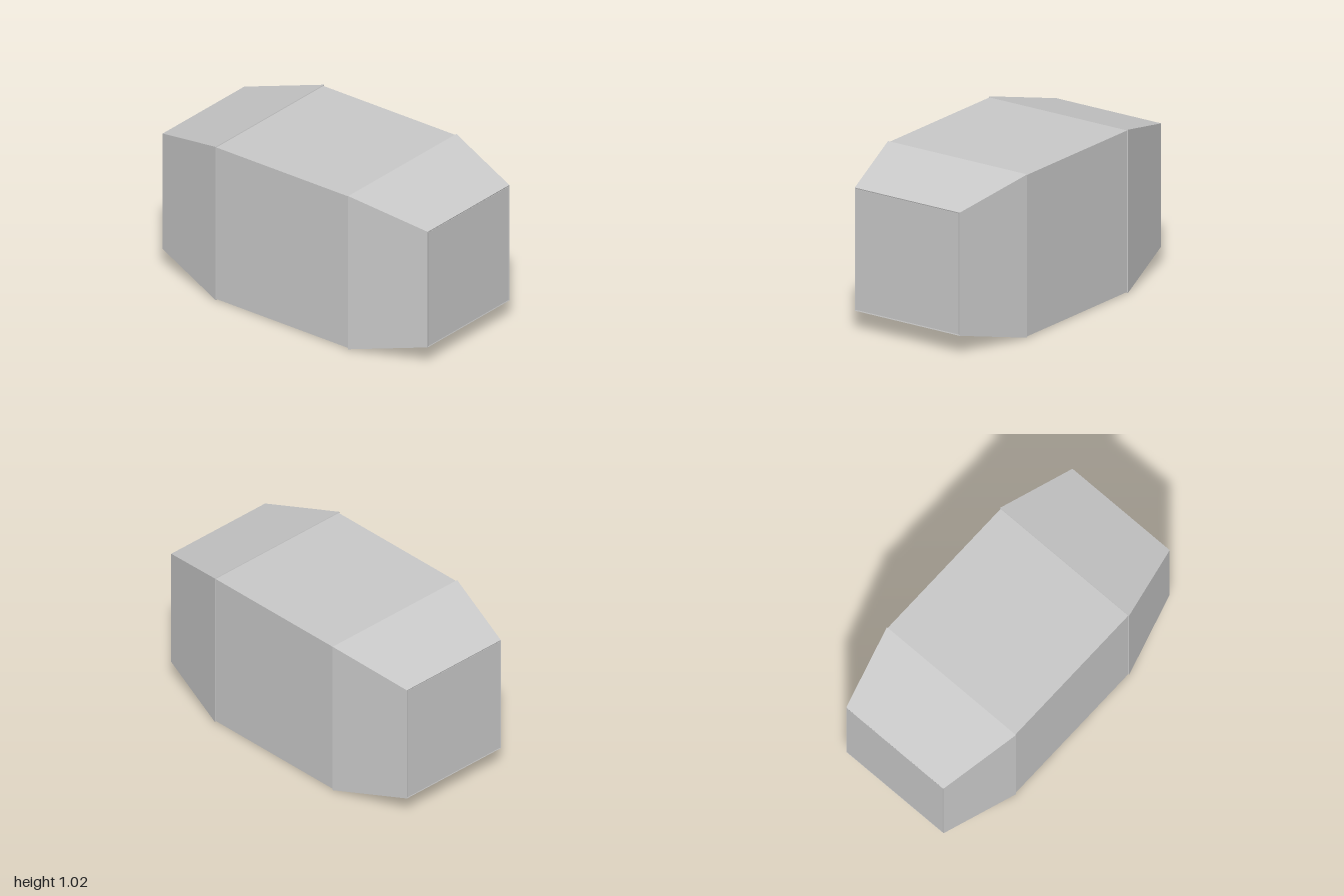
import * as THREE from 'three';

const MID = 0.508; // height of the long axis
const material = new THREE.MeshStandardMaterial({ color: 0xcccccc, flatShading: true, side: THREE.DoubleSide });

function addMesh(parent, name, geometry) {
  const mesh = new THREE.Mesh(geometry, material);
  mesh.name = name;
  parent.add(mesh);
  return mesh;
}

// Four-sided ring along z from [half width, z] pairs
function squareRing(profile) {
  const points = profile.map(([half, z]) => new THREE.Vector2(half * Math.SQRT2, z));
  return new THREE.LatheGeometry(points, 4, Math.PI / 4).rotateX(Math.PI / 2);
}

export function createModel() {
  const model = new THREE.Group();
  model.name = 'taperedCapsule';

  // Straight middle section
  addMesh(model, 'body', new THREE.BoxGeometry(1.005, 1.005, 1)).position.y = MID;

  // Matching tapered ends, each with slightly proud sloping panels and a flat cap
  for (const [name, turn] of [['frontEnd', 0], ['backEnd', Math.PI]]) {
    const end = new THREE.Group();
    end.name = name;
    end.position.y = MID;
    end.rotation.y = turn;
    addMesh(end, 'slopingPanels', squareRing([[0.5, 0.498], [0.508, 0.5], [0.383, 1], [0.375, 0.998]]));
    const cap = addMesh(end, 'endCap', new THREE.BoxGeometry(0.752, 0.752, 0.008));
    cap.position.z = 0.996;
    model.add(end);
  }

  return model;
}
